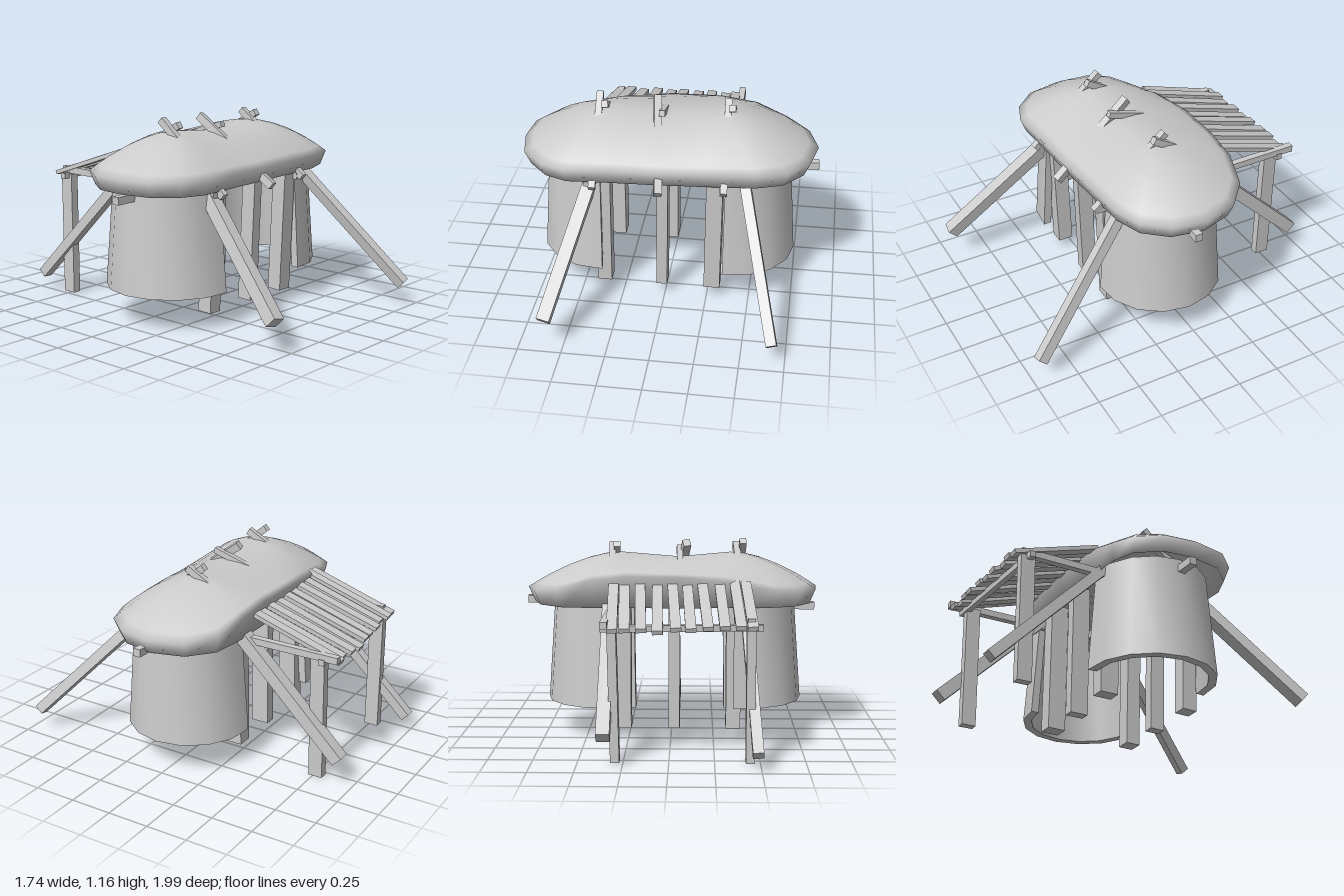
import * as THREE from 'three';
import { mergeVertices, toCreasedNormals } from 'three/addons/utils/BufferGeometryUtils.js';

const material = new THREE.MeshStandardMaterial({ color: 0xcccccc });
const shellMaterial = new THREE.MeshStandardMaterial({ color: 0xcccccc, side: THREE.DoubleSide });
const UP = new THREE.Vector3(0, 1, 0);

// Square timber running from point a to point b
function beam(name, a, b, w, d = w) {
  const start = new THREE.Vector3(...a), end = new THREE.Vector3(...b);
  const dir = end.clone().sub(start);
  const mesh = new THREE.Mesh(new THREE.BoxGeometry(w, dir.length(), d), material);
  mesh.quaternion.setFromUnitVectors(UP, dir.clone().normalize());
  mesh.position.copy(start).add(end).multiplyScalar(0.5);
  mesh.name = name;
  return mesh;
}

// Draped roof: rings between a short ridge and the rim, a tucked lip, then the ceiling
function createRoof() {
  const rim = [ // x, z, height of the widest edge
    [-0.87, 0.08, 0.87], [-0.85, -0.11, 0.87], [-0.75, -0.26, 0.87], [-0.61, -0.32, 0.88],
    [-0.33, -0.365, 0.94], [-0.05, -0.393, 0.97], [0.25, -0.39, 0.975], [0.47, -0.38, 0.95],
    [0.66, -0.33, 0.89], [0.8, -0.2, 0.87], [0.86, 0, 0.87], [0.82, 0.2, 0.87],
    [0.7, 0.34, 0.87], [0.53, 0.4, 0.87], [0.25, 0.42, 0.87], [-0.05, 0.44, 0.87],
    [-0.3, 0.45, 0.87], [-0.57, 0.465, 0.87], [-0.71, 0.41, 0.87], [-0.83, 0.28, 0.87],
  ];
  const rings = [ // distance from ridge to rim, drop below the outer surface
    [0, 0], [0.18, 0], [0.36, 0], [0.56, 0], [0.76, 0], [0.9, 0], [1, 0],
    'lip', [0.8, 0.025], [0.6, 0.025], [0.3, 0.025], [0, 0.025],
  ];
  const pos = [], index = [], n = rim.length, lipY = 0.785;
  rings.forEach((ring, k) => {
    rim.forEach(([x, z, y], i) => {
      const rx = x < -0.2 ? -0.35 : x > 0.2 ? 0.3 : -0.04;
      const ry = rx === -0.04 ? 1.05 : 1.078;
      const isLip = ring === 'lip';
      const s = isLip ? 1 - (y - lipY) * 0.8 : ring[0];
      const height = isLip ? lipY : y + (ry - y) * (1 - s ** 1.75) - ring[1];
      pos.push(rx + (x - rx) * s, height, 0.03 + (z - 0.03) * s);
      if (k < rings.length - 1) {
        const a = k * n + i, b = k * n + (i + 1) % n;
        index.push(a, b + n, a + n, a, b, b + n);
      }
    });
  });
  let geo = new THREE.BufferGeometry();
  geo.setAttribute('position', new THREE.Float32BufferAttribute(pos, 3));
  geo.setIndex(index);
  geo = mergeVertices(geo, 1e-4);
  geo.computeVertexNormals();
  const roof = new THREE.Mesh(geo, shellMaterial);
  roof.name = 'roof';
  return roof;
}

// Tapered C-shaped wall, open toward the middle of the hut
function createWall(side, radius, cx, cz) {
  const shape = new THREE.Shape(), steps = 8, half = 1.66;
  const arc = (r, i) => {
    const t = -half + (2 * half * i) / steps;
    return [r * Math.cos(t) * side, r * Math.sin(t)];
  };
  shape.moveTo(...arc(radius, 0));
  for (let i = 1; i <= steps; i++) shape.lineTo(...arc(radius, i));
  for (let i = steps; i >= 0; i--) shape.lineTo(...arc(radius - 0.05, i));
  const height = 0.62;
  let geo = new THREE.ExtrudeGeometry(shape, { depth: height, bevelEnabled: false });
  geo.rotateX(-Math.PI / 2);
  const p = geo.attributes.position;
  for (let i = 0; i < p.count; i++) {
    const k = 1 - 0.12 * p.getY(i) / height;
    p.setX(i, p.getX(i) * k);
    p.setZ(i, p.getZ(i) * k);
  }
  geo = toCreasedNormals(geo, 0.7);
  const wall = new THREE.Mesh(geo, material);
  wall.position.set(cx, 0.195, cz);
  wall.name = side > 0 ? 'leftWall' : 'rightWall';
  return wall;
}

export function createModel() {
  const model = new THREE.Group();
  model.name = 'hut';
  model.add(createRoof(), createWall(-1, 0.384, -0.397, 0.05), createWall(1, 0.37, 0.378, 0.033));

  // Six upright posts under the roof
  const posts = new THREE.Group();
  posts.name = 'posts';
  for (const [x, w] of [[-0.365, 0.085], [-0.02, 0.065], [0.28, 0.095]]) {
    posts.add(beam('frontPost', [x, 0.065, 0.305], [x + 0.01, 0.82, 0.33], w, 0.09));
    posts.add(beam('backPost', [x, 0.065, -0.22], [x, 0.88, -0.21], w, 0.11));
  }

  // Slanted poles bracing the walls at the four corners
  const braces = new THREE.Group();
  braces.name = 'braces';
  braces.add(
    beam('frontBrace', [-0.6, 0.185, 0.965], [-0.41, 0.81, 0.3], 0.075),
    beam('frontBrace', [0.675, 0.125, 0.945], [0.45, 0.81, 0.3], 0.06),
    beam('backBrace', [-0.48, 0.09, -0.975], [-0.43, 0.81, -0.27], 0.06),
    beam('backBrace', [0.35, 0.17, -0.93], [0.355, 0.81, -0.28], 0.075),
  );

  // Rafters that cross above the ridge
  const rafters = new THREE.Group();
  rafters.name = 'rafters';
  rafters.add(
    beam('frontRafter', [-0.425, 1.145, 0], [-0.405, 0.755, 0.45], 0.04),
    beam('frontRafter', [-0.09, 1.135, -0.01], [-0.02, 0.765, 0.485], 0.045),
    beam('frontRafter', [0.325, 1.13, -0.03], [0.345, 0.76, 0.43], 0.04),
    beam('backRafter', [-0.385, 1.12, 0.1], [-0.41, 0.88, -0.32], 0.04),
    beam('backRafter', [-0.045, 1.095, 0.13], [-0.06, 0.94, -0.36], 0.035),
    beam('backRafter', [0.355, 1.12, 0.06], [0.34, 0.89, -0.33], 0.04),
  );

  // Level timbers tying the frame together
  const ties = new THREE.Group();
  ties.name = 'ties';
  ties.add(
    beam('longTie', [-0.86, 0.75, 0.06], [0.87, 0.79, 0.06], 0.045),
    beam('crossTie', [-0.44, 0.765, 0.42], [-0.445, 0.775, -0.8], 0.04),
    beam('crossTie', [0.34, 0.765, 0.4], [0.345, 0.77, -0.9], 0.04),
  );

  // Plank awning at the back, on a rail and two posts
  const awning = new THREE.Group();
  awning.name = 'awning';
  awning.add(
    beam('awningPost', [-0.445, 0, -0.765], [-0.445, 0.75, -0.765], 0.05, 0.085),
    beam('awningPost', [0.295, 0, -0.765], [0.31, 0.75, -0.765], 0.05, 0.085),
    beam('awningRail', [-0.51, 0.742, -0.755], [0.37, 0.742, -0.805], 0.035),
  );
  const planks = [ // x at the outer end, x at the roof, outer z
    [-0.452, -0.43, -0.85], [-0.388, -0.365, -0.86], [-0.302, -0.28, -0.845],
    [-0.212, -0.18, -0.87], [-0.12, -0.095, -0.87], [-0.04, -0.01, -0.88],
    [0.058, 0.075, -0.895], [0.145, 0.175, -0.89], [0.235, 0.265, -0.875], [0.3, 0.325, -0.895],
  ];
  planks.forEach(([x0, x1, z], i) => {
    // neighbours sit at slightly different heights
    const lift = (i % 2) * 0.008;
    awning.add(beam('plank', [x0, 0.745 + (z + 0.86) * 0.33 + lift, z], [x1, 0.93 + lift, -0.32], 0.058, 0.025));
  });

  model.add(posts, braces, rafters, ties, awning);
  return model;
}
